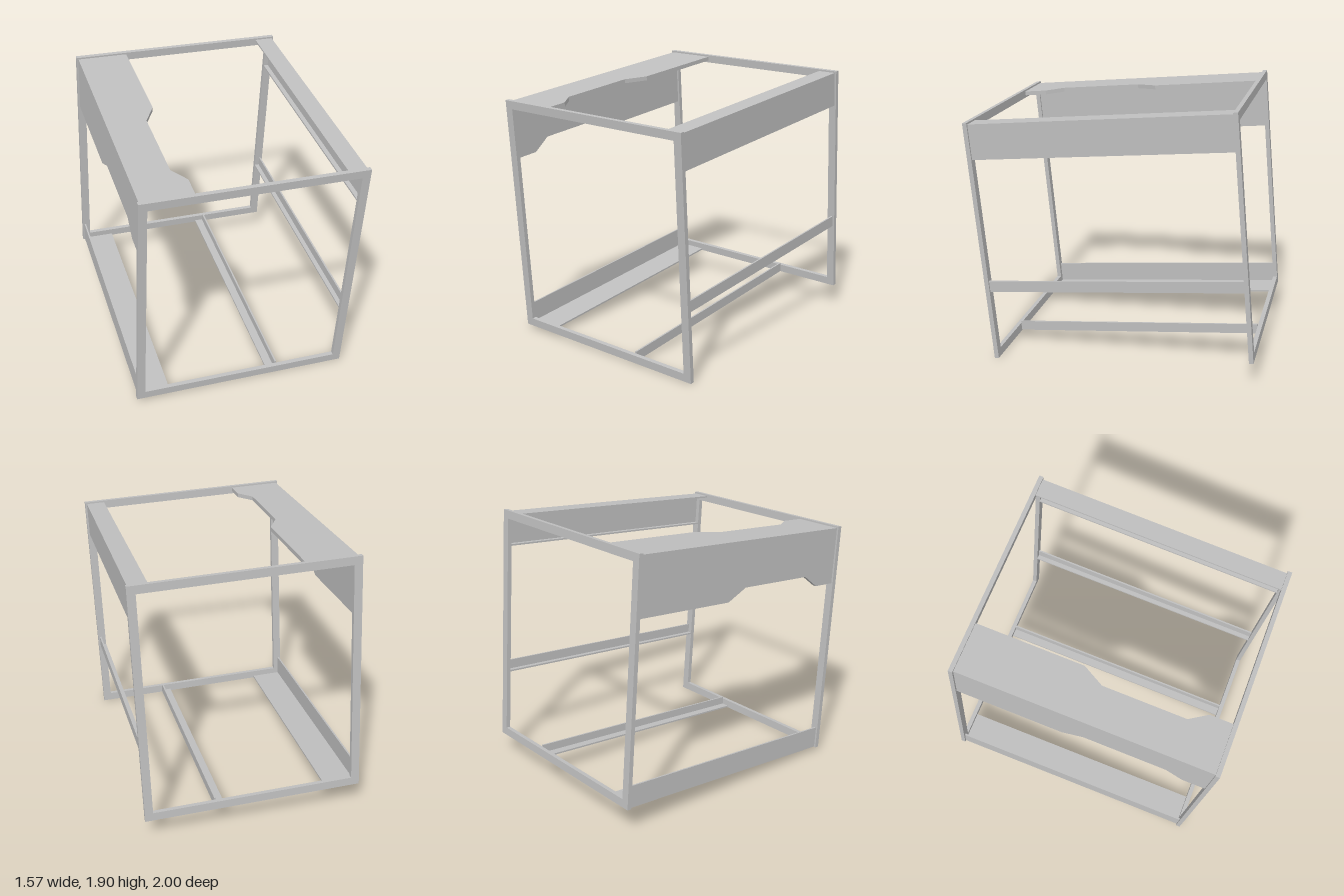
import * as THREE from 'three';

const W = 1.54, H = 1.716, D = 1.858; // overall frame size
const BAR = 0.058, DEEP = 0.031;      // end frame bar width and depth
const END = D / 2 - DEEP;             // rails run between the end frames

export function createModel() {
  const steel = new THREE.MeshStandardMaterial({ color: 0xbfbfbf });
  steel.name = 'plain grey steel';
  const model = new THREE.Group();
  model.name = 'tiltedFrame';

  const add = (name, geometry) => {
    const mesh = new THREE.Mesh(geometry, steel);
    mesh.name = name;
    model.add(mesh);
    return mesh;
  };

  // Lengthwise strip given by its cross-section limits
  const strip = (name, x0, x1, y0, y1) => {
    const mesh = add(name, new THREE.BoxGeometry(x1 - x0, y1 - y0, 2 * END));
    mesh.position.set((x0 + x1) / 2, (y0 + y1) / 2, 0);
  };

  // Rectangular end frames, front and back
  const rect = (path, w, h) => path
    .moveTo(-w, -h).lineTo(w, -h).lineTo(w, h).lineTo(-w, h).closePath();
  const outline = new THREE.Shape();
  rect(outline, W / 2, H / 2);
  const opening = new THREE.Path();
  rect(opening, W / 2 - BAR, H / 2 - BAR);
  outline.holes.push(opening);
  const frameGeometry = new THREE.ExtrudeGeometry(outline, { depth: DEEP, bevelEnabled: false });
  add('frontFrame', frameGeometry).position.z = END;
  add('backFrame', frameGeometry).position.z = -D / 2;

  // Upper right corner: two thick flanges
  const T = 0.03, X = -0.757, Y = 0.846;
  strip('upperRightTopFlange', X, -0.592, Y - T, Y);
  strip('upperRightSideFlange', X, X + T, 0.68, Y - T);

  // Notched plates continuing both flanges; u is distance from the corner, v runs along z
  const notched = (start, full) => {
    const s = new THREE.Shape();
    const cut = full - 0.083;
    [[start, -END], [full, -END], [full, -0.134], [cut, 0.018], [cut, 0.608],
      [full, 0.732], [full, END], [start, END]]
      .forEach(([u, v], i) => (i ? s.lineTo(u, v) : s.moveTo(u, v)));
    return new THREE.ExtrudeGeometry(s, { depth: T, bevelEnabled: false });
  };
  const topPlate = add('notchedTopPlate', notched(0.165, 0.36));
  topPlate.rotation.x = Math.PI / 2;
  topPlate.position.set(X, Y, 0);
  const sidePlate = add('notchedSidePlate', notched(Y - 0.68, Y - 0.437));
  // Local axes: u points down, v along z, thickness towards the inside
  sidePlate.rotation.setFromRotationMatrix(new THREE.Matrix4().makeBasis(
    new THREE.Vector3(0, -1, 0), new THREE.Vector3(0, 0, 1), new THREE.Vector3(-1, 0, 0)));
  sidePlate.position.set(X + T, Y, 0);

  // Upper left channel: top flange, deep web and small bottom lip
  const t = 0.012;
  strip('upperLeftTopFlange', 0.625, 0.757, Y - t, Y);
  strip('upperLeftWeb', 0.757 - t, 0.757, 0.6, Y - t);
  strip('upperLeftLip', 0.712, 0.757 - t, 0.6, 0.6 + t);

  // Left middle angle rail
  strip('middleRailWeb', 0.757 - t, 0.757, -0.356, -0.276);
  strip('middleRailFlange', 0.712, 0.757 - t, -0.356, -0.356 + t);

  // Lower right angle rail
  strip('lowerRightWeb', X, X + t, -0.856, -0.698);
  strip('lowerRightFlange', X + t, -0.528, -0.856, -0.844);

  // Floor angle rail
  strip('floorRailFlange', 0.206, 0.277, -0.856, -0.844);
  strip('floorRailWeb', 0.277 - t, 0.277, -0.844, -0.786);

  // The whole frame leans slightly forward and to one side
  model.rotation.set(0.087, 0, -0.02);
  model.position.y = 0.953;
  const root = new THREE.Group();
  root.name = 'rackFrame';
  root.add(model);
  return root;
}
